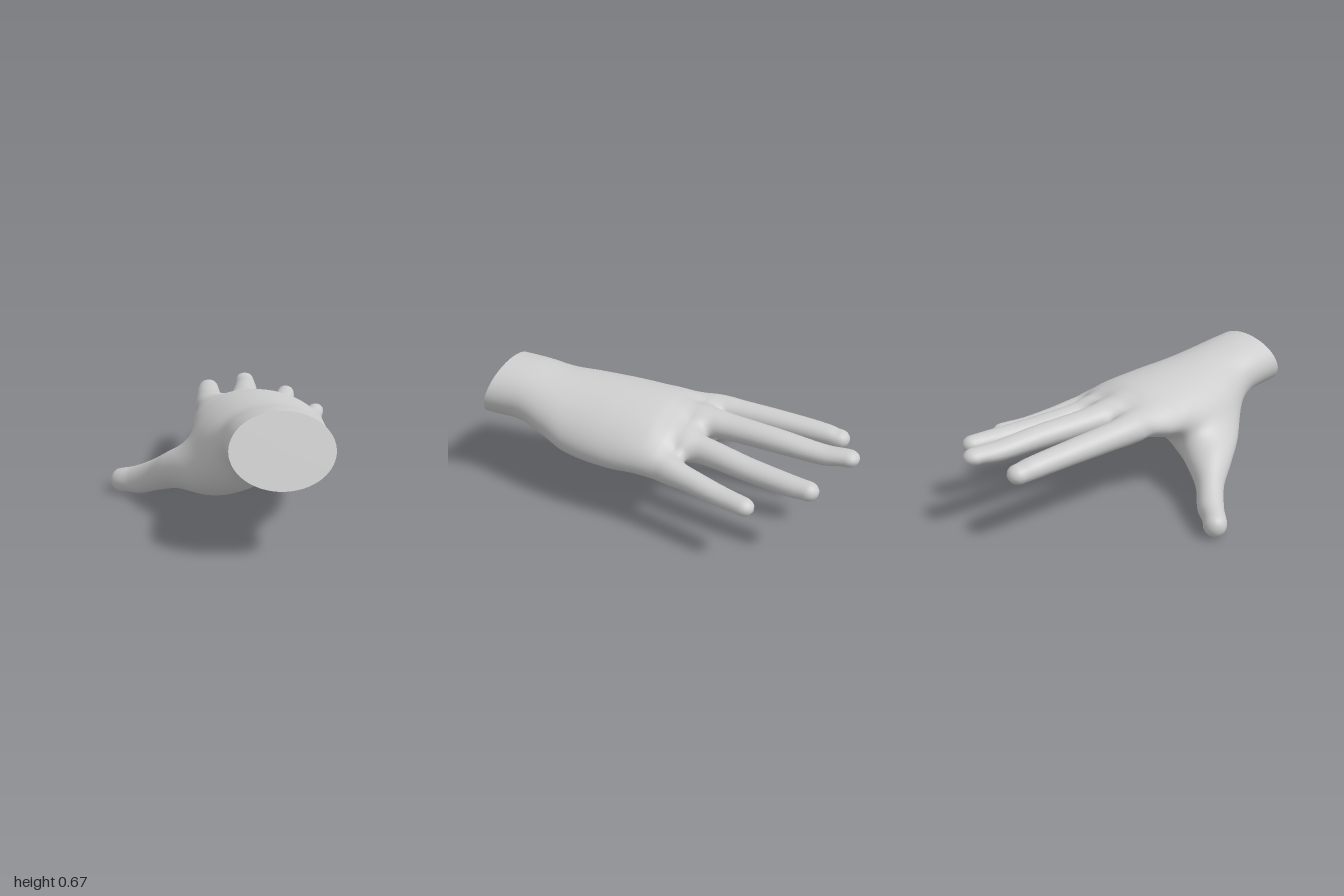
import * as THREE from 'three';

const CELL = 0.0175; // size of the cells that sample the skin
const WRIST = new THREE.Vector3(0.135, 0.517, 0.94);
const CUT_SLOPE = 0.37; // slant of the wrist cut

// Each limb is a row of sections: [x, y, z, halfWidth, halfHeight, roll, arch].
// Arch bends the sides of a section downwards; dome is the length of the rounded end.
const PALM = limb(0.07, [
  [0.135, 0.53, 1.1, 0.23, 0.163, 0, 0],
  [0.135, 0.517, 0.94, 0.229, 0.163, 0, 0],
  [0.135, 0.5, 0.76, 0.232, 0.163, 0, 0],
  [0.15, 0.464, 0.6, 0.258, 0.173, -0.06, 0.1],
  [0.15, 0.44, 0.45, 0.307, 0.182, -0.1, 0.25],
  [0.159, 0.43, 0.2, 0.344, 0.173, -0.1, 0.3],
  [0.172, 0.437, 0.0, 0.347, 0.141, -0.1, 0.32],
  [0.173, 0.443, -0.08, 0.328, 0.108, -0.1, 0.32],
  [0.155, 0.447, -0.16, 0.275, 0.07, -0.1, 0.3],
]);

// Thumb, swelling into the ball of the thumb under the palm
const THUMB = limb(0.06, [
  [0.09, 0.42, 0.66, 0.07, 0.07],
  [0.0, 0.34, 0.5, 0.14, 0.135],
  [-0.105, 0.268, 0.315, 0.185, 0.15],
  [-0.265, 0.213, 0.175, 0.125, 0.105],
  [-0.38, 0.148, 0.07, 0.075, 0.083],
  [-0.485, 0.09, -0.03, 0.068, 0.075],
  [-0.575, 0.068, -0.095, 0.06, 0.065],
]);

const FINGERS = [
  // index
  limb(0.052, [
    [-0.055, 0.46, 0.02, 0.06, 0.05],
    [-0.073, 0.455, -0.2, 0.082, 0.073],
    [-0.072, 0.449, -0.35, 0.074, 0.067],
    [-0.058, 0.438, -0.6, 0.067, 0.058],
    [-0.042, 0.424, -0.8, 0.06, 0.052],
    [-0.035, 0.416, -0.86, 0.056, 0.047],
  ]),
  // middle
  limb(0.052, [
    [0.11, 0.475, 0.02, 0.06, 0.05],
    [0.115, 0.468, -0.2, 0.086, 0.074],
    [0.13, 0.463, -0.35, 0.076, 0.065],
    [0.167, 0.453, -0.6, 0.068, 0.057],
    [0.195, 0.438, -0.83, 0.06, 0.047],
    [0.204, 0.447, -0.945, 0.055, 0.04],
  ]),
  // ring
  limb(0.052, [
    [0.26, 0.44, 0.03, 0.06, 0.05],
    [0.297, 0.42, -0.15, 0.074, 0.073],
    [0.326, 0.41, -0.3, 0.068, 0.065],
    [0.38, 0.393, -0.5, 0.064, 0.055],
    [0.438, 0.38, -0.74, 0.056, 0.049],
    [0.452, 0.38, -0.81, 0.052, 0.045],
  ]),
  // little
  limb(0.054, [
    [0.41, 0.385, 0.1, 0.05, 0.045],
    [0.464, 0.365, -0.1, 0.064, 0.07],
    [0.508, 0.345, -0.27, 0.058, 0.056],
    [0.551, 0.327, -0.42, 0.054, 0.047],
    [0.592, 0.322, -0.548, 0.049, 0.042],
  ]),
];

// Sections placed along the straight axis of the limb, with slopes for smooth interpolation
function limb(dome, sections) {
  const rows = sections.map((s) => [...s, 0, 0].slice(0, 7));
  const points = rows.map((r) => new THREE.Vector3(...r));
  const axis = points.at(-1).clone().sub(points[0]).normalize();
  const side = new THREE.Vector3().crossVectors(axis, new THREE.Vector3(0, 1, 0)).normalize();
  const top = new THREE.Vector3().crossVectors(side, axis);
  const at = points.map((p) => p.dot(axis));
  const slopes = rows.map((r, i) => r.map((_, c) => (i === 0 || i === rows.length - 1
    ? 0 : (rows[i + 1][c] - rows[i - 1][c]) / (at[i + 1] - at[i - 1]))));
  return { dome, rows, slopes, at, axis, side, top };
}

// Signed distance from a point to one limb
function limbDistance({ dome, rows, slopes, at, axis, side, top }, x, y, z) {
  const position = x * axis.x + y * axis.y + z * axis.z;
  const inside = THREE.MathUtils.clamp(position, at[0], at.at(-1));
  let n = 0;
  while (n < at.length - 2 && inside > at[n + 1]) n++;
  const span = at[n + 1] - at[n];
  const t = (inside - at[n]) / span, t2 = t * t, t3 = t2 * t;
  const value = (c) => (2 * t3 - 3 * t2 + 1) * rows[n][c] + (3 * t2 - 2 * t3) * rows[n + 1][c]
    + span * ((t3 - 2 * t2 + t) * slopes[n][c] + (t3 - t2) * slopes[n + 1][c]);

  const px = x - value(0), py = y - value(1), pz = z - value(2);
  const w = value(3), h = value(4), roll = value(5);
  const a = px * side.x + py * side.y + pz * side.z;
  const b = px * top.x + py * top.y + pz * top.z;
  const s = a * Math.cos(roll) + b * Math.sin(roll);
  const u = b * Math.cos(roll) - a * Math.sin(roll) + value(6) * s * s;
  const d = position - inside;
  const k1 = Math.sqrt((s / w) ** 2 + (u / h) ** 2 + (d / dome) ** 2) + 1e-6;
  const k2 = Math.sqrt((s / w ** 2) ** 2 + (u / h ** 2) ** 2 + (d / dome ** 2) ** 2) + 1e-6;
  return k1 * (k1 - 1) / k2;
}

function blend(a, b, radius) {
  const h = Math.max(radius - Math.abs(a - b), 0) / radius;
  return Math.min(a, b) - h * h * radius / 4;
}

// Whole hand: limbs melted together with soft webs
function handDistance(x, y, z) {
  const body = blend(limbDistance(PALM, x, y, z), limbDistance(THUMB, x, y, z), 0.12);
  const fingers = FINGERS.map((f) => limbDistance(f, x, y, z)).reduce((a, b) => blend(a, b, 0.045));
  return blend(body, fingers, 0.06);
}

function gradient(p, e = 0.004) {
  const f = handDistance;
  return new THREE.Vector3(
    f(p.x + e, p.y, p.z) - f(p.x - e, p.y, p.z),
    f(p.x, p.y + e, p.z) - f(p.x, p.y - e, p.z),
    f(p.x, p.y, p.z + e) - f(p.x, p.y, p.z - e)).divideScalar(2 * e);
}

// Skin over the hand on a grid sheared along the wrist cut; also returns the rim of the cut
function buildSkin() {
  const size = [77, 44, 116];
  const stride = [1, size[0], size[0] * size[1]];
  const last = size[2] - 2;
  const cutZ = (y) => WRIST.z - CUT_SLOPE * (y - WRIST.y);
  const node = (i, j, k) => {
    const y = -0.03 + j * CELL;
    return new THREE.Vector3(-0.67 + i * CELL, y, cutZ(y) + (k - last - 0.5) * CELL);
  };
  const each = (n, visit) => {
    for (let k = 0; k < size[2] - n; k++)
      for (let j = 0; j < size[1] - n; j++)
        for (let i = 0; i < size[0] - n; i++) visit(i + j * stride[1] + k * stride[2], i, j, k);
  };
  const values = new Float32Array(size[0] * size[1] * size[2]);
  each(0, (id, i, j, k) => {
    const p = node(i, j, k);
    values[id] = handDistance(p.x, p.y, p.z);
  });

  // One vertex in every cell the skin passes through, pulled onto the skin
  const positions = [], normals = [], rim = [], vertexOf = new Map();
  each(1, (id, i, j, k) => {
    const p = new THREE.Vector3();
    let crossings = 0;
    for (let c = 0; c < 8; c++) {
      for (let axis = 0; axis < 3; axis++) {
        if (c & (1 << axis)) continue;
        const corner = [c & 1, (c >> 1) & 1, c >> 2];
        const from = id + corner[0] + corner[1] * stride[1] + corner[2] * stride[2];
        const a = values[from], b = values[from + stride[axis]];
        if ((a < 0) === (b < 0)) continue;
        corner[axis] += a / (a - b);
        p.add(node(i + corner[0], j + corner[1], k + corner[2]));
        crossings++;
      }
    }
    if (!crossings) return;
    p.divideScalar(crossings);
    for (let n = 0; n < 2; n++) {
      const g = gradient(p);
      const step = handDistance(p.x, p.y, p.z) / Math.max(g.lengthSq(), 0.2);
      p.addScaledVector(g, -THREE.MathUtils.clamp(step, -CELL / 2, CELL / 2));
    }
    if (k === last) {
      p.z = cutZ(p.y);
      rim.push(p);
    }
    vertexOf.set(id, positions.length / 3);
    positions.push(...p);
    normals.push(...gradient(p).normalize());
  });

  // A quad around every grid edge that the skin crosses
  const index = [];
  each(1, (id) => {
    for (let axis = 0; axis < 3; axis++) {
      const inside = values[id] < 0;
      if (inside === values[id + stride[axis]] < 0) continue;
      const b = stride[(axis + 1) % 3], c = stride[(axis + 2) % 3];
      const q = [id - b - c, id - c, id, id - b].map((cell) => vertexOf.get(cell));
      if (!inside) q.reverse();
      index.push(q[0], q[1], q[2], q[0], q[2], q[3]);
    }
  });
  const skin = new THREE.BufferGeometry();
  skin.setAttribute('position', new THREE.Float32BufferAttribute(positions, 3));
  skin.setAttribute('normal', new THREE.Float32BufferAttribute(normals, 3));
  skin.setIndex(index);
  return { skin, rim };
}

// Flat fan that closes the wrist
function buildCap(rim) {
  const angle = (p) => Math.atan2(p.y - WRIST.y, p.x - WRIST.x);
  const ring = [...rim].sort((a, b) => angle(a) - angle(b));
  const points = ring.flatMap((p, i) => [WRIST, p, ring[(i + 1) % ring.length]]);
  const cap = new THREE.BufferGeometry().setFromPoints(points);
  cap.computeVertexNormals();
  return cap;
}

export function createModel() {
  const grey = new THREE.MeshStandardMaterial({ color: 0xcccccc });
  grey.name = 'plain grey';
  const group = new THREE.Group();
  group.name = 'hand';
  const { skin, rim } = buildSkin();
  for (const [name, geometry] of [['handSkin', skin], ['wristCap', buildCap(rim)]]) {
    const mesh = new THREE.Mesh(geometry, grey);
    mesh.name = name;
    group.add(mesh);
  }
  return group;
}
